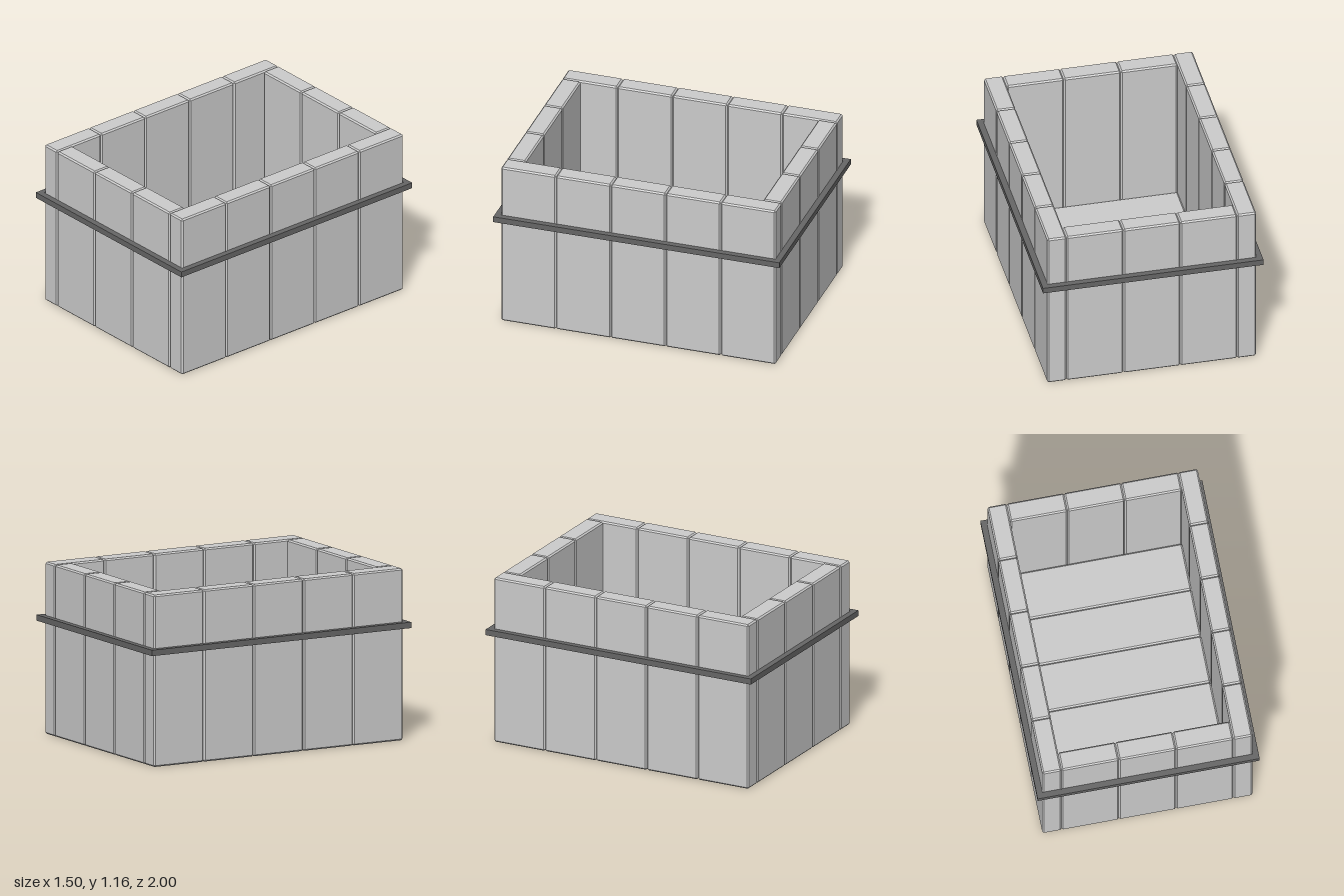
import * as THREE from 'three';
import { ConvexGeometry } from 'three/addons/geometries/ConvexGeometry.js';

const X = 0.71, Z = 0.96, H = 1.16, T = 0.13, BEVEL = 0.01;

// Box with a flat chamfer along every edge
function chamferBox(w, h, d, c = BEVEL) {
  const points = [];
  for (const sx of [-1, 1]) for (const sy of [-1, 1]) for (const sz of [-1, 1]) {
    for (let axis = 0; axis < 3; axis++) {
      const inset = [c, c, c];
      inset[axis] = 0;
      points.push(new THREE.Vector3(
        sx * (w / 2 - inset[0]), sy * (h / 2 - inset[1]), sz * (d / 2 - inset[2])));
    }
  }
  return new ConvexGeometry(points);
}

export function createModel() {
  const group = new THREE.Group();
  const wood = new THREE.MeshStandardMaterial({ color: 0xcccccc, flatShading: true });
  const dark = new THREE.MeshStandardMaterial({ color: 0x666666, flatShading: true });

  const add = (name, geometry, material, x, y, z) => {
    const mesh = new THREE.Mesh(geometry, material);
    mesh.name = name;
    mesh.position.set(x, y, z);
    group.add(mesh);
  };

  // Long side walls: five upright planks each
  const sideW = 2 * Z / 5;
  const side = chamferBox(T, H, sideW);
  for (const s of [-1, 1]) for (let i = 0; i < 5; i++) {
    add('sidePlank', side, wood, s * (X - T / 2), H / 2, (i - 2) * sideW);
  }

  // End walls: three upright planks each, between the side walls
  const innerX = X - T, innerZ = Z - T;
  const endW = 2 * innerX / 3;
  const end = chamferBox(endW, H, T);
  for (const s of [-1, 1]) for (let i = 0; i < 3; i++) {
    add('endPlank', end, wood, (i - 1) * endW, H / 2, s * (Z - T / 2));
  }

  // Floor: five planks lying across the inside
  const floorW = 2 * innerZ / 5;
  const floor = chamferBox(2 * innerX, T, floorW);
  for (let i = 0; i < 5; i++) add('floorPlank', floor, wood, 0, T / 2, (i - 2) * floorW);

  // Band around the outside
  const rect = (P, x, z) => new P([
    new THREE.Vector2(-x, -z), new THREE.Vector2(x, -z),
    new THREE.Vector2(x, z), new THREE.Vector2(-x, z)]);
  const ring = rect(THREE.Shape, 0.75, 1);
  ring.holes.push(rect(THREE.Path, X, Z));
  const band = new THREE.ExtrudeGeometry(ring, { depth: 0.04, bevelEnabled: false });
  band.rotateX(-Math.PI / 2);
  add('band', band, dark, 0, 0.76, 0);

  return group;
}
